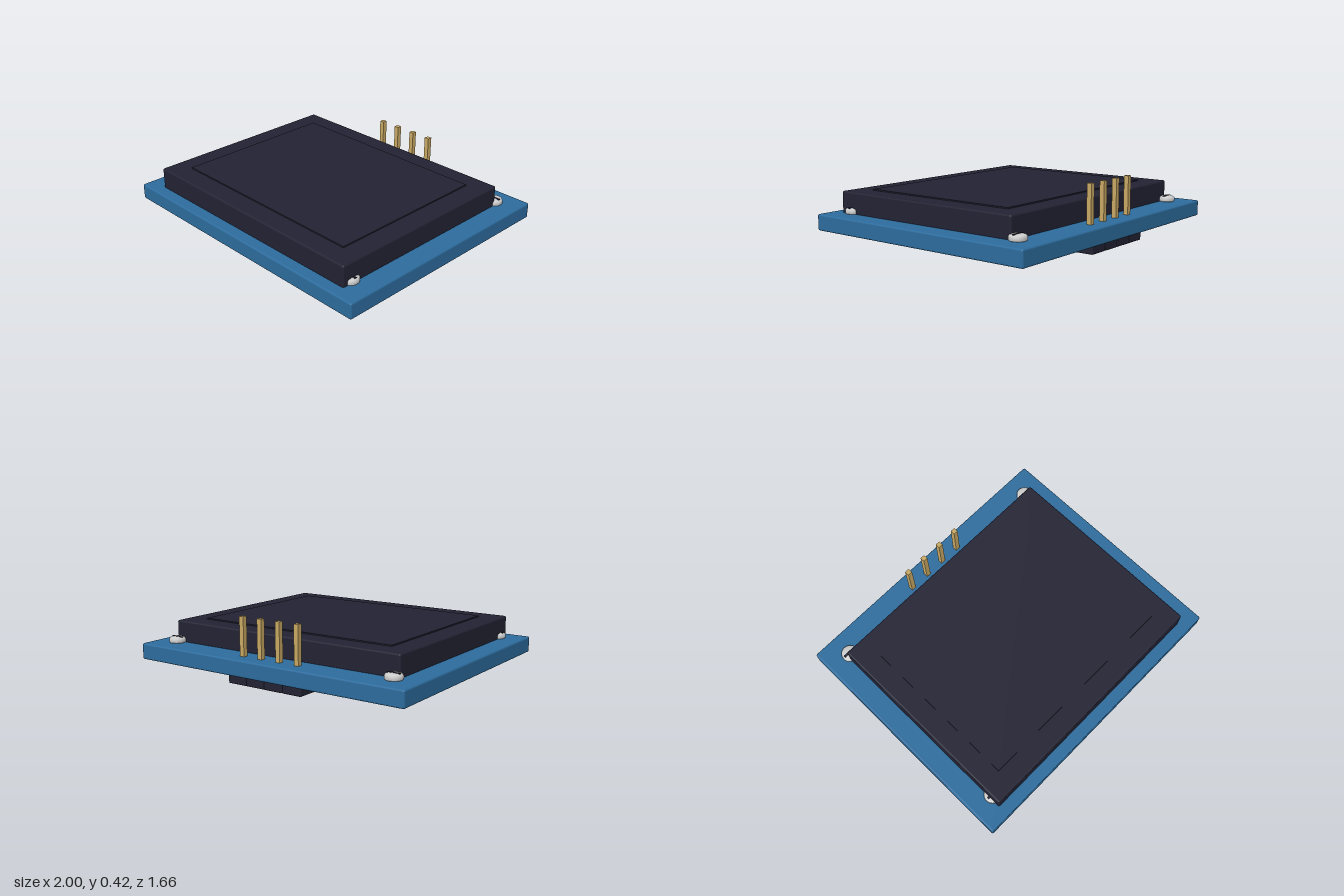
import * as THREE from 'three';
import { RoundedBoxGeometry } from 'three/addons/geometries/RoundedBoxGeometry.js';

const material = (name, color) => {
  const m = new THREE.MeshStandardMaterial({ color });
  m.name = name;
  return m;
};

export function createModel() {
  const group = new THREE.Group();
  const boardBlue = material('board blue', 0x2c6b9c);
  const plasticDark = material('dark plastic', 0x222233);
  const pinGold = material('pin gold', 0xc8a864);
  const screwSilver = material('screw silver', 0xcccccc);

  const add = (name, geometry, mat, x, y, z, parent = group) => {
    const mesh = new THREE.Mesh(geometry, mat);
    mesh.name = name;
    mesh.position.set(x, y, z);
    parent.add(mesh);
    return mesh;
  };
  // Box given by its extents, with optional rounded edges
  const block = (name, mat, [x0, x1], [y0, y1], [z0, z1], r = 0, parent = group) => {
    const size = [x1 - x0, y1 - y0, z1 - z0];
    const geo = r ? new RoundedBoxGeometry(...size, 3, r) : new THREE.BoxGeometry(...size);
    return add(name, geo, mat, (x0 + x1) / 2, (y0 + y1) / 2, (z0 + z1) / 2, parent);
  };

  // Circuit board, display housing and raised screen
  block('board', boardBlue, [-1, 1], [0.06, 0.167], [-0.83, 0.83], 0.012);
  block('displayHousing', plasticDark, [-0.86, 0.86], [0.16, 0.307], [-0.64, 0.75], 0.012);
  block('screen', plasticDark, [-0.72, 0.72], [0.306, 0.315], [-0.505, 0.61]);

  // Four-pin header: plastic blocks below the board, pins rising above it
  const header = new THREE.Group();
  header.name = 'pinHeader';
  group.add(header);
  for (let i = 0; i < 4; i++) {
    const x = -0.21 + i * 0.14;
    block('headerBlock', plasticDark, [x - 0.069, x + 0.069], [0, 0.065], [-0.79, -0.652], 0.006, header);
    block('pin', pinGold, [x - 0.016, x + 0.016], [0.03, 0.417], [-0.741, -0.709], 0, header);
  }

  // Slotted screws at the corners, low domed heads
  const headProfile = [[0, 0], [0.05, 0], [0.055, 0.006], [0.055, 0.024], [0.048, 0.034], [0.03, 0.039], [0, 0.04]]
    .map(([x, y]) => new THREE.Vector2(x, y));
  const headGeo = new THREE.LatheGeometry(headProfile, 32);
  const slotGeo = new THREE.BoxGeometry(0.084, 0.008, 0.016);
  for (const x of [-0.835, 0.835]) {
    for (const z of [-0.668, 0.668]) {
      const screw = new THREE.Group();
      screw.name = 'screw';
      screw.position.set(x, 0.166, z);
      group.add(screw);
      add('screwHead', headGeo, screwSilver, 0, 0, 0, screw);
      add('screwSlot', slotGeo, plasticDark, 0, 0.037, 0, screw);
    }
  }
  return group;
}
